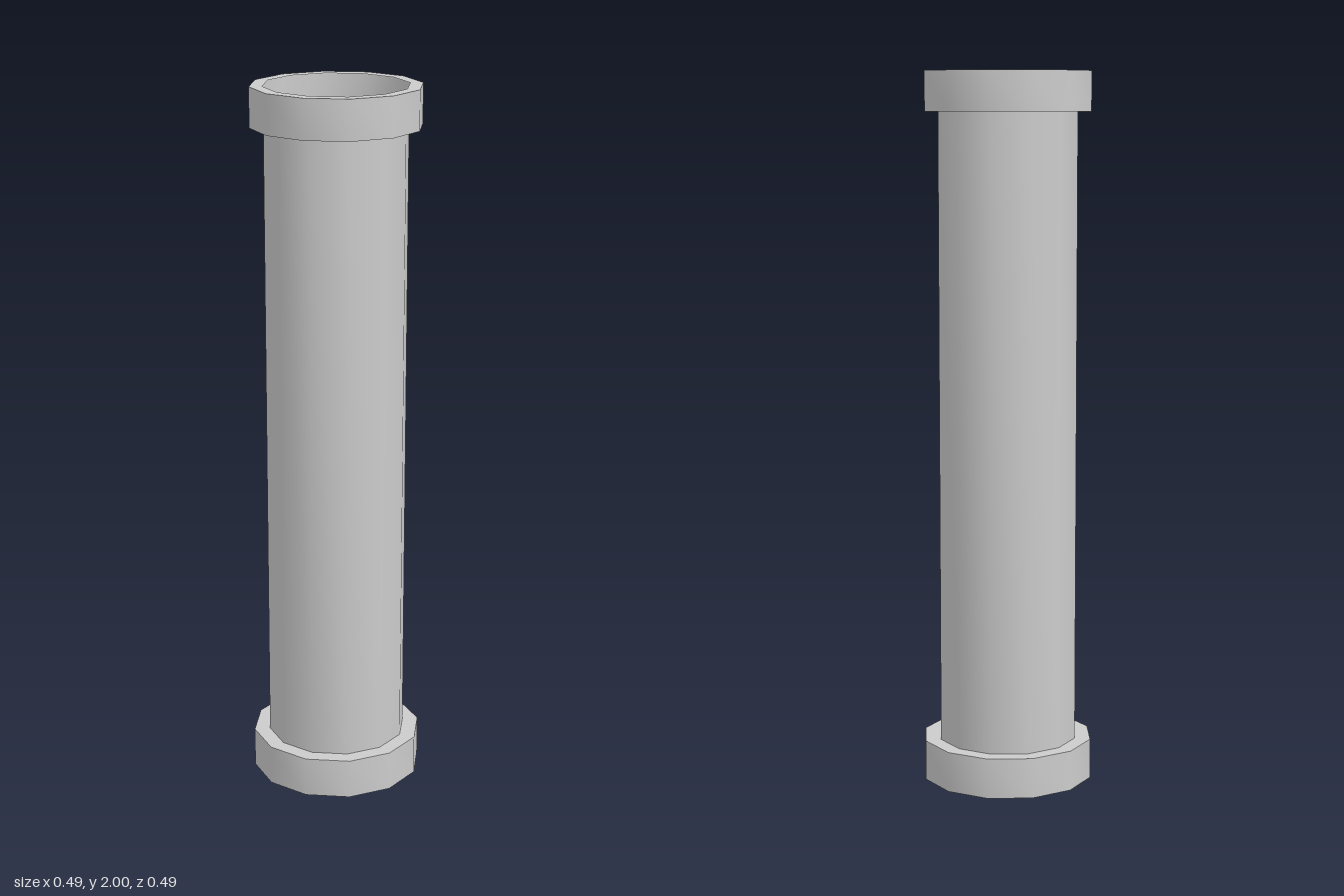
import * as THREE from 'three';
import { toCreasedNormals } from 'three/addons/utils/BufferGeometryUtils.js';

const SIDES = 12;

export function createModel() {
  const group = new THREE.Group();
  group.name = 'pipe';
  const material = new THREE.MeshStandardMaterial({ color: 0xcccccc, side: THREE.DoubleSide });

  // Turned part from a bottom-to-top profile, smooth around and sharp at the rims
  const turned = (name, profile) => {
    const points = profile.map(([r, y]) => new THREE.Vector2(r, y));
    const geometry = toCreasedNormals(new THREE.LatheGeometry(points, SIDES), 0.8);
    const mesh = new THREE.Mesh(geometry, material);
    mesh.name = name;
    group.add(mesh);
  };

  // Hollow collar: outer wall with an annular lip at each end, open inside
  const collar = (name, outer, bottom, top, innerBottom, innerTop) =>
    turned(name, [[innerBottom, bottom], [outer, bottom], [outer, top], [innerTop, top]]);

  // Open tube between the collars
  turned('tube', [[0.198, 0.114], [0.198, 1.89]]);

  collar('bottomCollar', 0.243, 0, 0.114, 0.2, 0.198);
  collar('topCollar', 0.236, 1.89, 2, 0.198, 0.2);

  return group;
}
